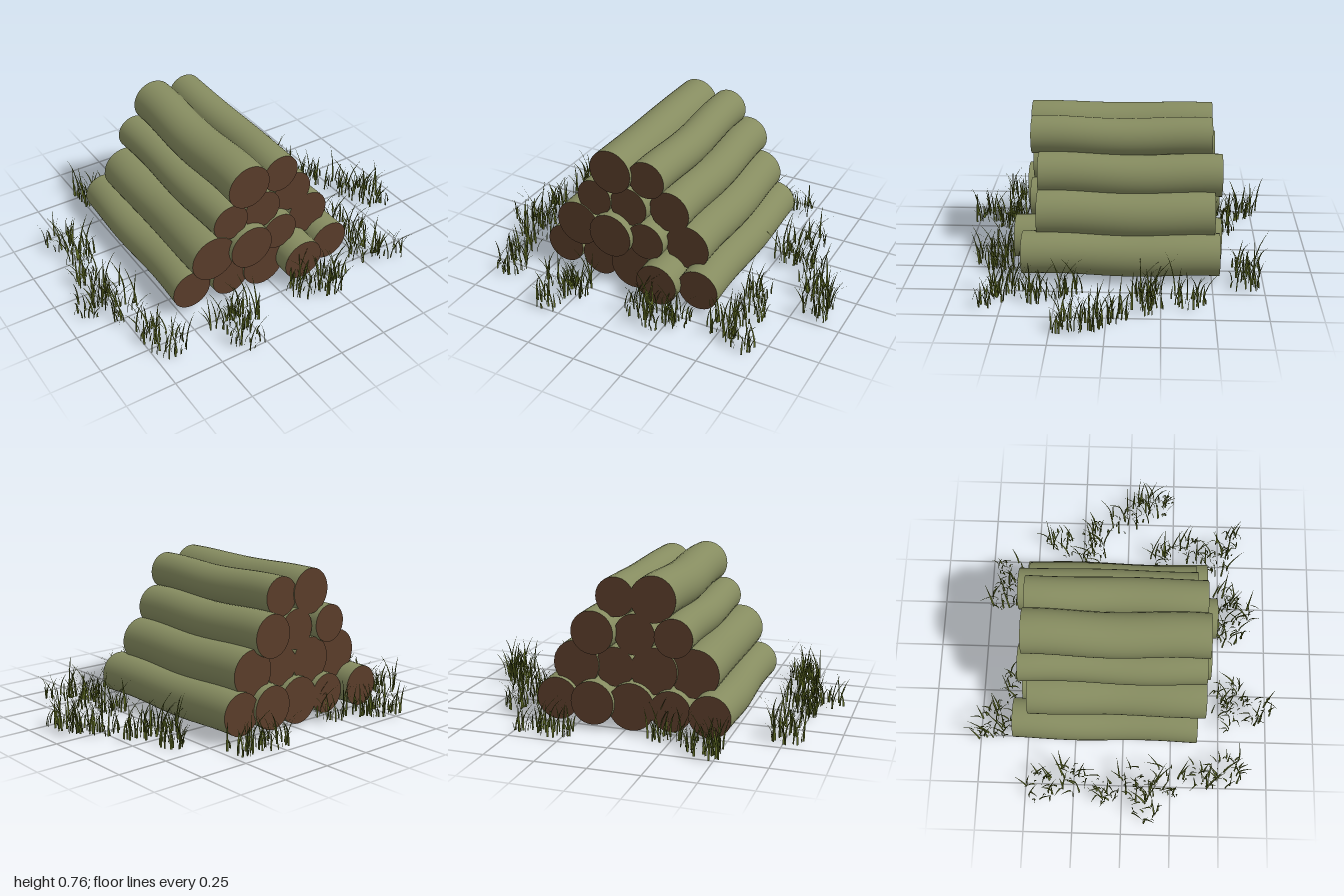
import * as THREE from 'three';

const bark = new THREE.MeshStandardMaterial({ color: 0x868c60 });
bark.name = 'bark';
const cutWood = new THREE.MeshStandardMaterial({ color: 0x5a3d2a });
cutWood.name = 'cutWood';
const grassGreen = new THREE.MeshStandardMaterial({ color: 0x566120, side: THREE.DoubleSide });
grassGreen.name = 'grassGreen';

// Small seeded generator
let seed = 7;
function rand(min = 0, max = 1) {
  seed = (seed * 16807) % 2147483647;
  return min + (max - min) * (seed / 2147483647);
}

// Log along z, its centre line sagging and swaying gently; cut faces stay flat
function makeLog(x, y, r, zBack, zFront, phase) {
  const length = zFront - zBack;
  const geo = new THREE.CylinderGeometry(r, r, length, 32, 20).rotateX(Math.PI / 2);
  const pos = geo.attributes.position, nor = geo.attributes.normal;
  const n = new THREE.Vector3(), k = 8.5, sway = 0.005, sag = 0.005;
  for (let i = 0; i < pos.count; i++) {
    const a = pos.getZ(i) * k;
    pos.setX(i, pos.getX(i) + sway * Math.sin(a + phase));
    pos.setY(i, pos.getY(i) - sag * Math.cos(a));
    n.fromBufferAttribute(nor, i);
    n.z -= k * (n.x * sway * Math.cos(a + phase) + n.y * sag * Math.sin(a));
    n.normalize();
    nor.setXYZ(i, n.x, n.y, n.z);
  }
  const log = new THREE.Mesh(geo, [bark, cutWood, cutWood]);
  log.position.set(x, y, (zFront + zBack) / 2);
  return log;
}

// Tapered blade that curves over towards its tip
function addBlade(out, x, z, height, lean, dir, width) {
  const steps = 5, rows = [];
  const dx = Math.cos(dir), dz = Math.sin(dir);
  for (let i = 0; i <= steps; i++) {
    const t = i / steps, w = (width / 2) * (1 - t * t);
    const reach = lean * t * t;
    const cx = x + dx * reach, cz = z + dz * reach;
    const y = 0.015 + height * (t - 0.2 * t * t) / 0.8;
    rows.push([[cx - dz * w, y, cz + dx * w], [cx + dz * w, y, cz - dx * w]]);
  }
  for (let i = 0; i < steps; i++) {
    const [a, b] = rows[i], [c, d] = rows[i + 1];
    out.push(...a, ...b, ...c);
    if (i < steps - 1) out.push(...b, ...d, ...c);
  }
}

export function createModel() {
  seed = 7;
  const model = new THREE.Group();
  model.name = 'logPile';

  // Rows from the ground up: x, y, radius, back z, front z
  const rows = [
    [[-0.435, 0.132, 0.102, -0.57, 0.38], [-0.225, 0.122, 0.1, -0.53, 0.39], [-0.04, 0.124, 0.117, -0.53, 0.4],
      [0.15, 0.132, 0.108, -0.55, 0.485], [0.34, 0.132, 0.105, -0.535, 0.43]],
    [[-0.33, 0.302, 0.119, -0.485, 0.415], [-0.14, 0.302, 0.115, -0.5, 0.44],
      [0.05, 0.305, 0.097, -0.5, 0.41], [0.25, 0.305, 0.115, -0.51, 0.36]],
    [[-0.24, 0.475, 0.094, -0.525, 0.41], [-0.05, 0.47, 0.1, -0.5, 0.4], [0.155, 0.475, 0.106, -0.545, 0.36]],
    [[-0.14, 0.645, 0.112, -0.5, 0.415], [0.055, 0.642, 0.096, -0.495, 0.4]],
  ];
  rows.forEach((row, level) => {
    const group = new THREE.Group();
    group.name = `logRow${level + 1}`;
    row.forEach((spec, i) => {
      const log = makeLog(...spec, level * 1.7 + i * 2.3);
      log.name = `log${i + 1}`;
      group.add(log);
    });
    model.add(group);
  });

  // Tufts of grass around the pile: x, z
  const tufts = [
    [-0.77, -0.42], [-0.73, -0.26], [-0.76, -0.06], [-0.74, 0.08], [-0.86, 0.12], [-0.72, 0.24],
    [-0.7, 0.42], [-0.67, 0.55], [-0.47, -0.7], [-0.4, -0.64], [-0.22, -0.57], [0.28, -0.68], [0.42, -0.66],
    [0.6, -0.38], [0.55, -0.2], [0.67, -0.18], [0.75, -0.02], [0.83, 0.08], [0.86, 0.17],
    [0.55, 0.2], [0.58, 0.36], [0.52, 0.5], [0.62, 0.57],
    [-0.36, 0.55], [-0.25, 0.55], [-0.33, 0.7], [0.1, 0.55], [0.2, 0.6], [0.28, 0.54],
  ];
  const blades = [];
  for (const [x, z] of tufts) {
    for (let i = 0; i < 28; i++) {
      const angle = rand(0, Math.PI * 2), spread = 0.085 * Math.sqrt(rand());
      const height = 0.05 + 0.17 * rand() * rand(0.5, 1);
      addBlade(blades, x + spread * Math.cos(angle), z + spread * Math.sin(angle),
        height, height * rand(0.2, 0.65), rand(0, Math.PI * 2), rand(0.007, 0.011));
    }
  }
  const geo = new THREE.BufferGeometry();
  geo.setAttribute('position', new THREE.Float32BufferAttribute(blades, 3));
  geo.computeVertexNormals();
  const grass = new THREE.Mesh(geo, grassGreen);
  grass.name = 'grass';
  model.add(grass);
  return model;
}
